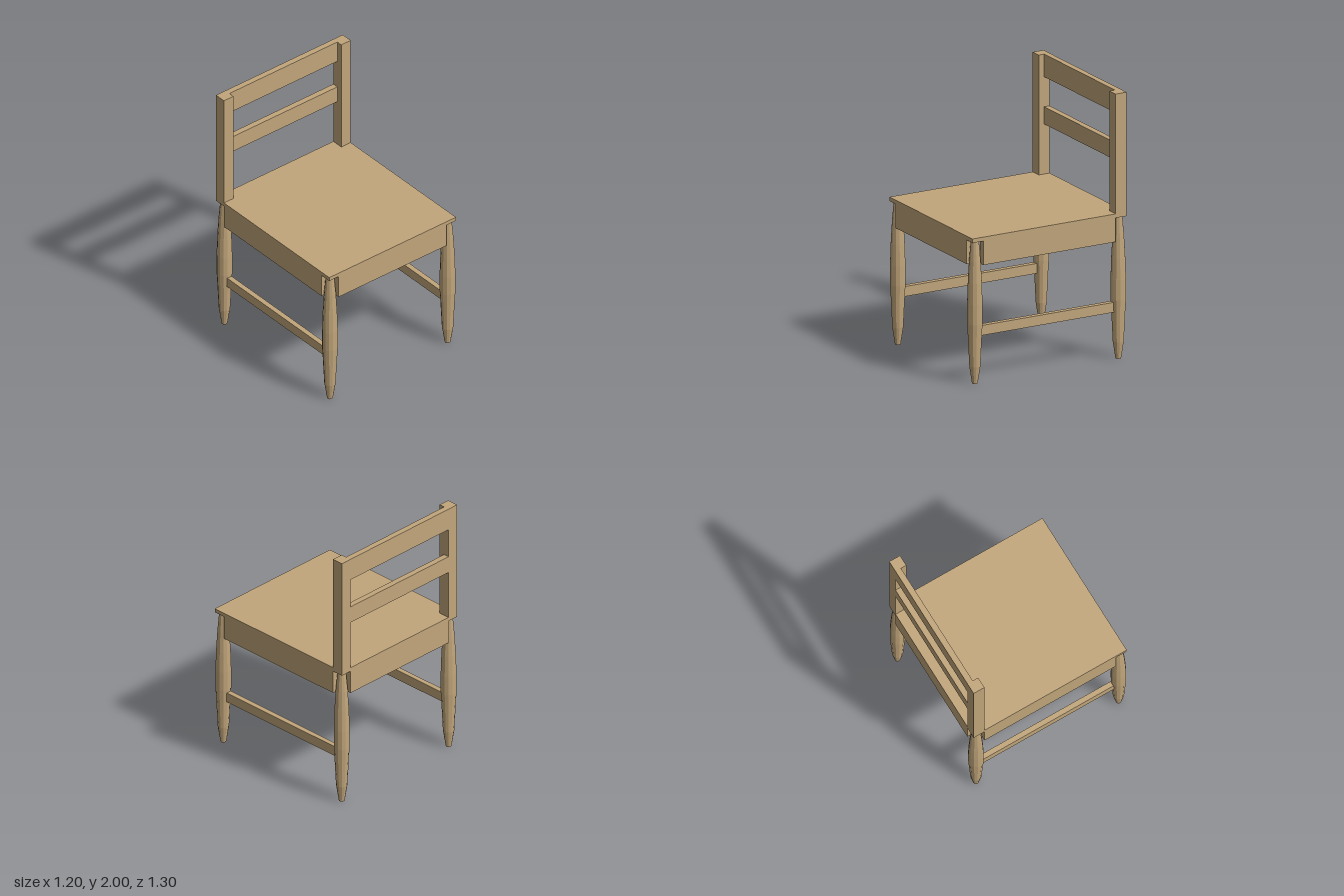
import * as THREE from 'three';

const wood = new THREE.MeshStandardMaterial({ color: 0xc2a67b });
wood.name = 'wood';
const woodFaceted = wood; // one colour throughout

// Box given by its minimum and maximum corners
function board(name, [x0, y0, z0], [x1, y1, z1]) {
  const mesh = new THREE.Mesh(new THREE.BoxGeometry(x1 - x0, y1 - y0, z1 - z0), wood);
  mesh.position.set((x0 + x1) / 2, (y0 + y1) / 2, (z0 + z1) / 2);
  mesh.name = name;
  return mesh;
}

// Turned leg: twelve flat sides, swelling in the middle
function legGeometry() {
  const profile = [
    [0, 0], [0.021, 0], [0.041, 0.13], [0.052, 0.36], [0.057, 0.45],
    [0.057, 0.6], [0.052, 0.76], [0.043, 0.92], [0.03, 1.07], [0, 1.07],
  ].map(([r, y]) => new THREE.Vector2(r, y));
  const geometry = new THREE.LatheGeometry(profile, 12, Math.PI / 12).toNonIndexed();
  geometry.computeVertexNormals();
  return geometry;
}

export function createModel() {
  const chair = new THREE.Group();
  chair.name = 'chair';

  const W = 0.587, D = 0.64, T = 0.045; // half width, half depth, board thickness
  const innerX = 0.5, innerZ = 0.55;
  const seatBottom = 1.07, seatTop = 1.1, apronBottom = 0.89;

  chair.add(board('seat', [-W, seatBottom, -D], [W, seatTop, D]));

  // Front and back aprons
  chair.add(board('frontApron', [-innerX, apronBottom, D - T], [innerX, seatBottom, D]));
  chair.add(board('backApron', [-innerX, apronBottom, -D], [innerX, seatBottom, -D + T]));

  // Mirrored side parts
  const leg = legGeometry();
  for (const [side, s] of [['left', 1], ['right', -1]]) {
    const span = (a, b) => (s > 0 ? [a, b] : [-b, -a]);

    const [a0, a1] = span(W - T, W);
    chair.add(board(side + 'Apron', [a0, apronBottom, -innerZ], [a1, seatBottom, innerZ]));

    const [s0, s1] = span(0.523, 0.563);
    chair.add(board(side + 'Stretcher', [s0, 0.355, -innerZ], [s1, 0.43, innerZ]));

    const [p0, p1] = span(innerX, W);
    chair.add(board(side + 'BackPost', [p0, seatTop, -D], [p1, 2, -innerZ]));

    for (const [end, e] of [['Front', 1], ['Back', -1]]) {
      const mesh = new THREE.Mesh(leg, woodFaceted);
      mesh.name = side + end + 'Leg';
      mesh.position.set(s * 0.545, 0, e * 0.596);
      chair.add(mesh);
    }
  }

  // Backrest rails, flush with the rear of the posts
  for (const [name, y0, y1] of [['topRail', 1.83, 2], ['middleRail', 1.475, 1.605]]) {
    chair.add(board(name, [-innerX, y0, -D], [innerX, y1, -D + T]));
  }

  return chair;
}
